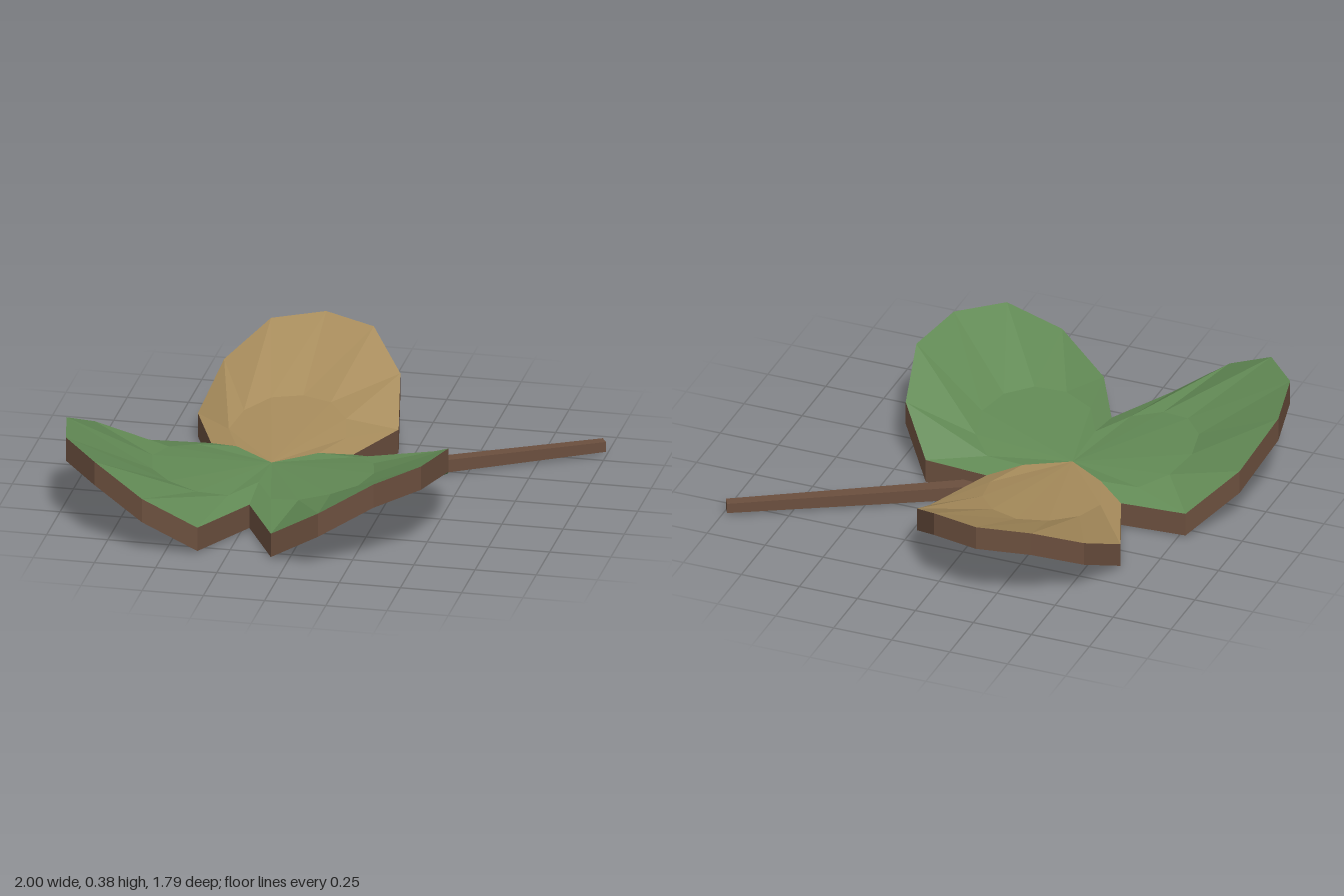
import * as THREE from 'three';

const CX = -0.22, CZ = 0.12, RIM = 0.1;

// Half outline from back tip to front notch: offset from the axis, z, top height
const HALF = [
  [0, -0.9, 0.38], [0.21, -0.83, 0.36], [0.36, -0.64, 0.245], [0.41, -0.38, 0.11],
  [0.29, -0.08, 0.11], // side notch
  [0.56, -0.06, 0.11], [0.72, 0.12, 0.245], [0.78, 0.38, 0.36], [0.725, 0.64, 0.38],
  [0.57, 0.82, 0.36], [0.36, 0.89, 0.245], [0.15, 0.815, 0.11], [0, 0.53, 0.11],
];
const NOTCH = 4, FRONT = HALF.length - 1;

const rightSide = HALF.map(([x, z, y]) => new THREE.Vector3(CX + x, y, z));
const leftSide = HALF.map(([x, z, y]) => new THREE.Vector3(CX - x, y, z));

// Outline runs, each turning from +x through +z to -x
const RUNS = {
  leftLobe: rightSide.slice(NOTCH, FRONT + 1),
  rightLobe: leftSide.slice(NOTCH, FRONT + 1).reverse(),
  backLobe: [...leftSide.slice(1, NOTCH + 1).reverse(), ...rightSide.slice(0, NOTCH + 1)],
};

// Points of the low inner ring and of the lower edge
const inner = (p) => new THREE.Vector3(
  CX + (p.x - CX) * 0.58, 0.14 + (p.y - 0.11) * 0.17, CZ + (p.z - CZ) * 0.58);
const lower = (p) => new THREE.Vector3(p.x, p.y - RIM, p.z);

function meshFrom(name, triangles, material) {
  const geometry = new THREE.BufferGeometry().setFromPoints(triangles);
  geometry.computeVertexNormals();
  const mesh = new THREE.Mesh(geometry, material);
  mesh.name = name;
  return mesh;
}

// One lobe: cupped top, fanned underside and a brown rim
function makeLobe(name, run, faceMaterial, rimMaterial) {
  const topCentre = new THREE.Vector3(CX, 0.13, CZ);
  const bottomCentre = new THREE.Vector3(CX, 0, CZ);
  const top = [], under = [], rim = [];
  for (let i = 0; i < run.length - 1; i++) {
    const a = run[i], b = run[i + 1];
    const ai = inner(a), bi = inner(b), al = lower(a), bl = lower(b);
    top.push(topCentre, bi, ai, ai, bi, b, ai, b, a);
    under.push(bottomCentre, al, bl);
    rim.push(a, b, al, b, bl, al);
  }
  const lobe = new THREE.Group();
  lobe.name = name;
  lobe.add(
    meshFrom('lobeTop', top, faceMaterial),
    meshFrom('lobeUnderside', under, faceMaterial),
    meshFrom('lobeRim', rim, rimMaterial));
  return lobe;
}

export function createModel() {
  const material = (name, color) => {
    const m = new THREE.MeshStandardMaterial({ color, flatShading: true });
    m.name = name;
    return m;
  };
  const green = material('leaf green', 0x628a55);
  const tan = material('dry tan', 0xa68b5b);
  const brown = material('bark brown', 0x6b4f3e);

  const model = new THREE.Group();
  model.name = 'threeLobedLeaf';
  for (const [name, run] of Object.entries(RUNS)) {
    model.add(makeLobe(name, run, name === 'backLobe' ? tan : green, brown));
  }

  // Square tapered stem running out from the centre at 30 degrees
  const length = 1.394;
  const stemGeometry = new THREE.CylinderGeometry(0.03, 0.046, length, 4, 1);
  stemGeometry.rotateY(Math.PI / 4);
  stemGeometry.rotateZ(-Math.PI / 2);
  stemGeometry.translate(length / 2, 0, 0);
  const stem = new THREE.Mesh(stemGeometry, brown);
  stem.name = 'stem';
  stem.position.set(CX, 0.035, CZ);
  stem.rotation.y = Math.PI / 6;
  model.add(stem);
  return model;
}
